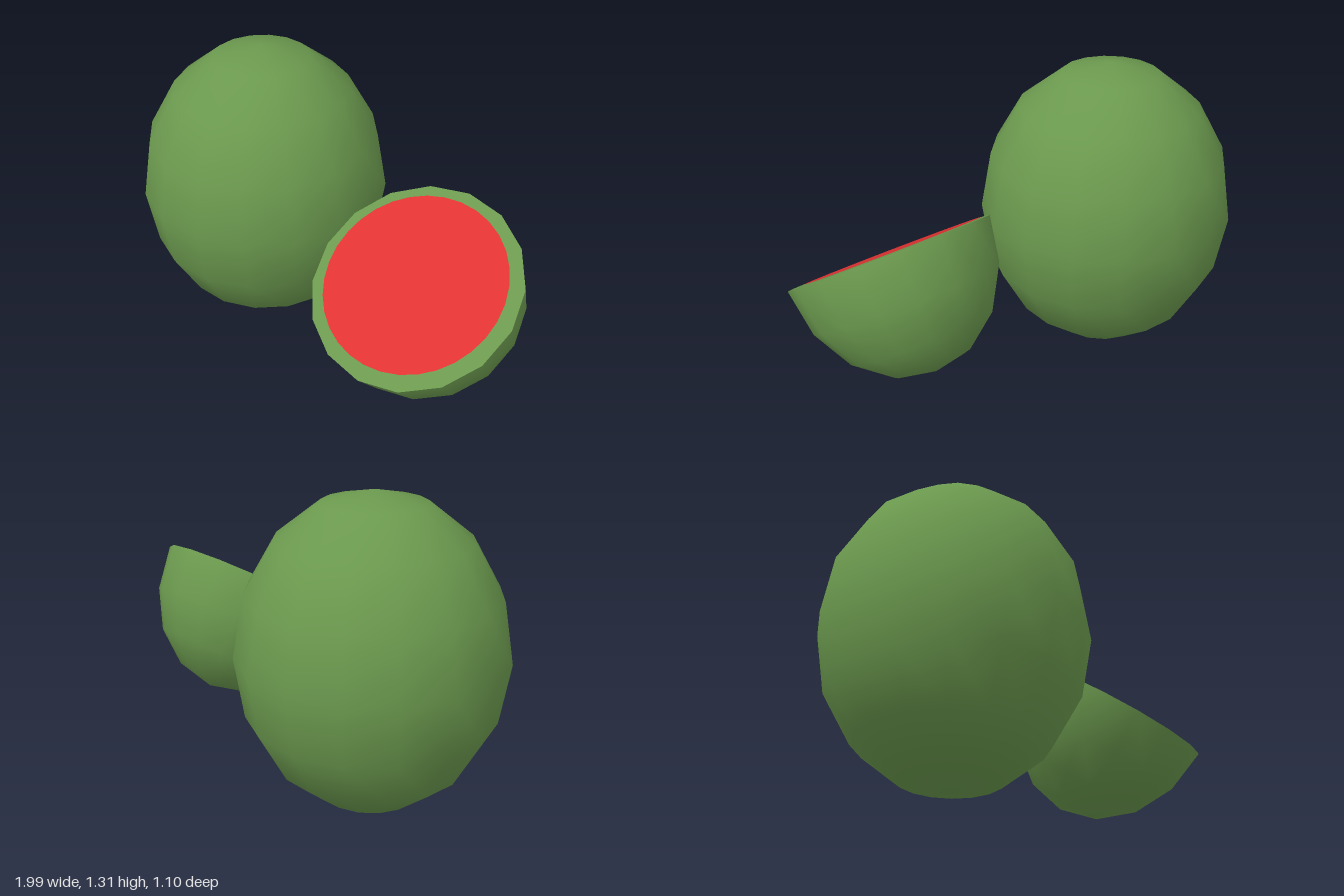
import * as THREE from 'three';

export function createModel() {
  const model = new THREE.Group();
  const rind = new THREE.MeshStandardMaterial({ color: 0x6b994e });
  rind.name = 'green rind';
  const flesh = new THREE.MeshStandardMaterial({ color: 0xe03333 });
  flesh.name = 'red flesh';

  const add = (parent, name, geometry, material) => {
    const mesh = new THREE.Mesh(geometry, material);
    mesh.name = name;
    parent.add(mesh);
    return mesh;
  };
  // Flat disc facing up
  const disc = (radius, sides) => new THREE.CircleGeometry(radius, sides).rotateX(-Math.PI / 2);

  // Whole melon: a coarse, smooth-shaded ellipsoid
  add(model, 'wholeMelon', new THREE.SphereGeometry(0.55, 16, 8).scale(1, 0.655 / 0.55, 1), rind)
    .position.set(-0.45, 0.658, 0);

  // Half melon: smaller, with its cut face tilted up and forward
  const half = new THREE.Group();
  half.name = 'halfMelon';
  const normal = new THREE.Vector3(0.13, 0.833, 0.537).normalize();
  const side = new THREE.Vector3(0.975, 0.01, -0.22).projectOnPlane(normal).normalize();
  const front = side.clone().cross(normal);
  half.quaternion.setFromRotationMatrix(new THREE.Matrix4().makeBasis(side, normal, front));
  half.position.set(0.565, 0.657, 0);
  model.add(half);

  const shell = new THREE.SphereGeometry(0.44, 16, 4, 0, Math.PI * 2, Math.PI / 2, Math.PI / 2);
  add(half, 'halfRind', shell.scale(1, 0.524 / 0.44, 1), rind);
  add(half, 'cutRim', disc(0.44, 16), rind);

  // Red flesh, a thin layer just above the cut
  add(half, 'cutFlesh', disc(0.383, 32), flesh).position.set(-0.01, 0.003, -0.008);

  return model;
}
